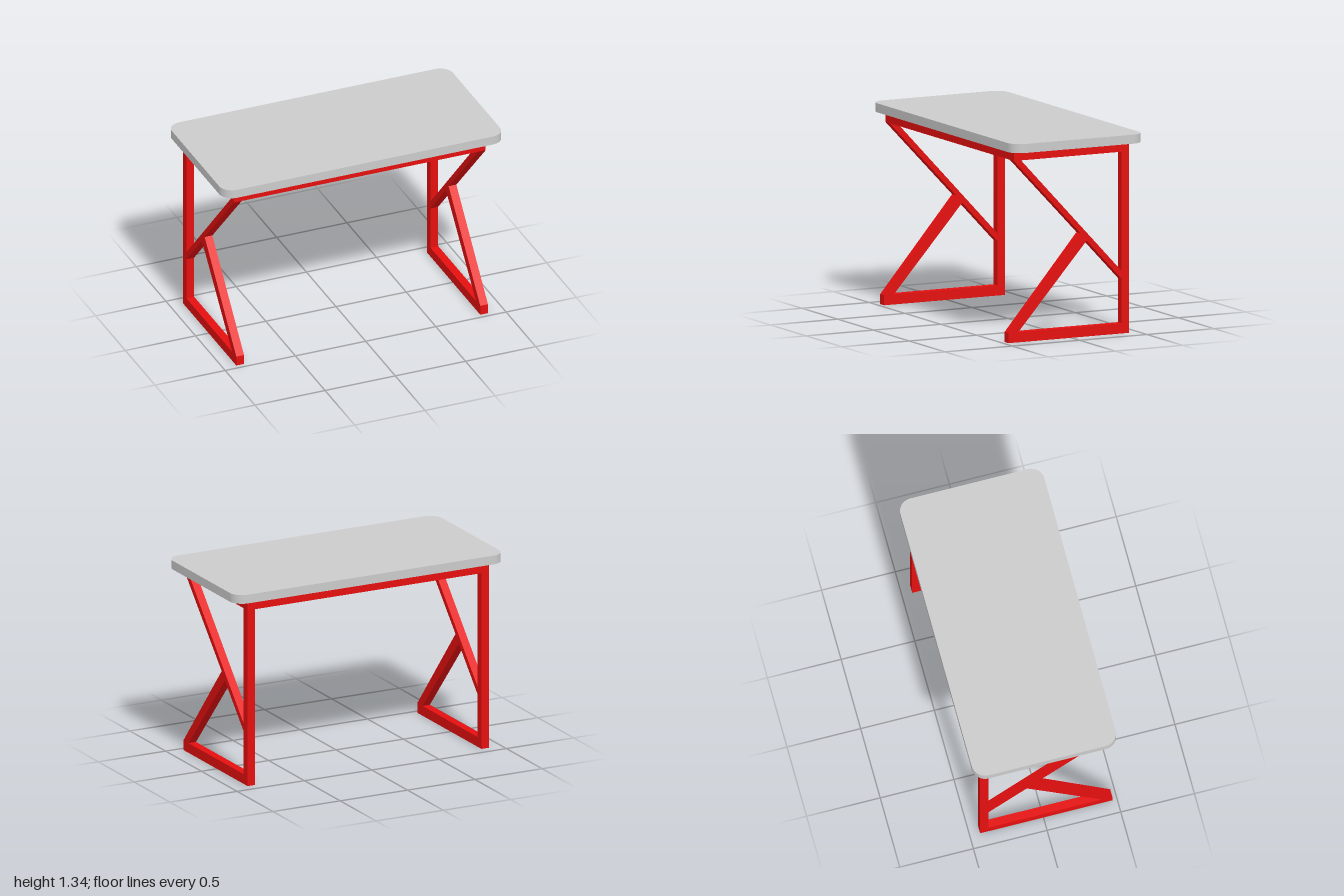
import * as THREE from 'three';
import { toCreasedNormals } from 'three/addons/utils/BufferGeometryUtils.js';

const points = (list) => list.map(([a, b]) => new THREE.Vector2(a, b));

export function createModel() {
  const model = new THREE.Group();
  model.name = 'desk';
  const grey = new THREE.MeshStandardMaterial({ color: 0xcccccc });
  const red = new THREE.MeshStandardMaterial({ color: 0xe60f0f });
  const add = (name, geometry, material, x = 0, y = 0, z = 0) => {
    const mesh = new THREE.Mesh(geometry, material);
    mesh.name = name;
    mesh.position.set(x, y, z);
    model.add(mesh);
  };

  const bar = 0.055;
  const railBottom = 1.208, topBottom = 1.276, topHeight = 0.06;
  const frameLeft = 0.885, frameRight = -0.907;

  // Rounded tabletop
  const w = 1, d = 0.488, r = 0.09;
  const top = new THREE.Shape();
  top.absarc(w - r, d - r, r, 0, Math.PI / 2);
  top.absarc(-w + r, d - r, r, Math.PI / 2, Math.PI);
  top.absarc(-w + r, -d + r, r, Math.PI, Math.PI * 1.5);
  top.absarc(w - r, -d + r, r, Math.PI * 1.5, Math.PI * 2);
  const topGeometry = new THREE.ExtrudeGeometry(top, { depth: topHeight, bevelEnabled: false, curveSegments: 10 });
  topGeometry.rotateX(-Math.PI / 2);
  add('tabletop', toCreasedNormals(topGeometry, 0.6), grey, 0, topBottom, 0);

  // Side frame profile (z, y): foot, back post, top rail and two diagonal braces
  const side = new THREE.Shape(points([
    [0.467, 0], [0.467, 0.067], [-0.067, 0.69], [0.428, railBottom],
    [0.428, topBottom], [-0.43, topBottom], [-0.43, 0],
  ]));
  side.holes.push(
    new THREE.Path(points([[0.374, railBottom], [-0.374, railBottom], [-0.374, 0.415]])),
    new THREE.Path(points([[0.395, 0.067], [-0.113, 0.637], [-0.374, 0.362], [-0.374, 0.067]])),
  );
  const sideGeometry = new THREE.ExtrudeGeometry(side, { depth: bar, bevelEnabled: false });
  sideGeometry.rotateY(-Math.PI / 2); // profile lies in z/y, thickness runs towards -x
  add('leftSideFrame', sideGeometry, red, frameLeft);
  add('rightSideFrame', sideGeometry, red, frameRight + bar);

  // Long rails between the side frames
  const rail = new THREE.BoxGeometry(frameLeft - frameRight - 2 * bar, topBottom - railBottom, bar);
  const railX = (frameLeft + frameRight) / 2, railY = (topBottom + railBottom) / 2;
  add('frontRail', rail, red, railX, railY, 0.428 - bar / 2);
  add('backRail', rail, red, railX, railY, -0.43 + bar / 2);

  return model;
}
